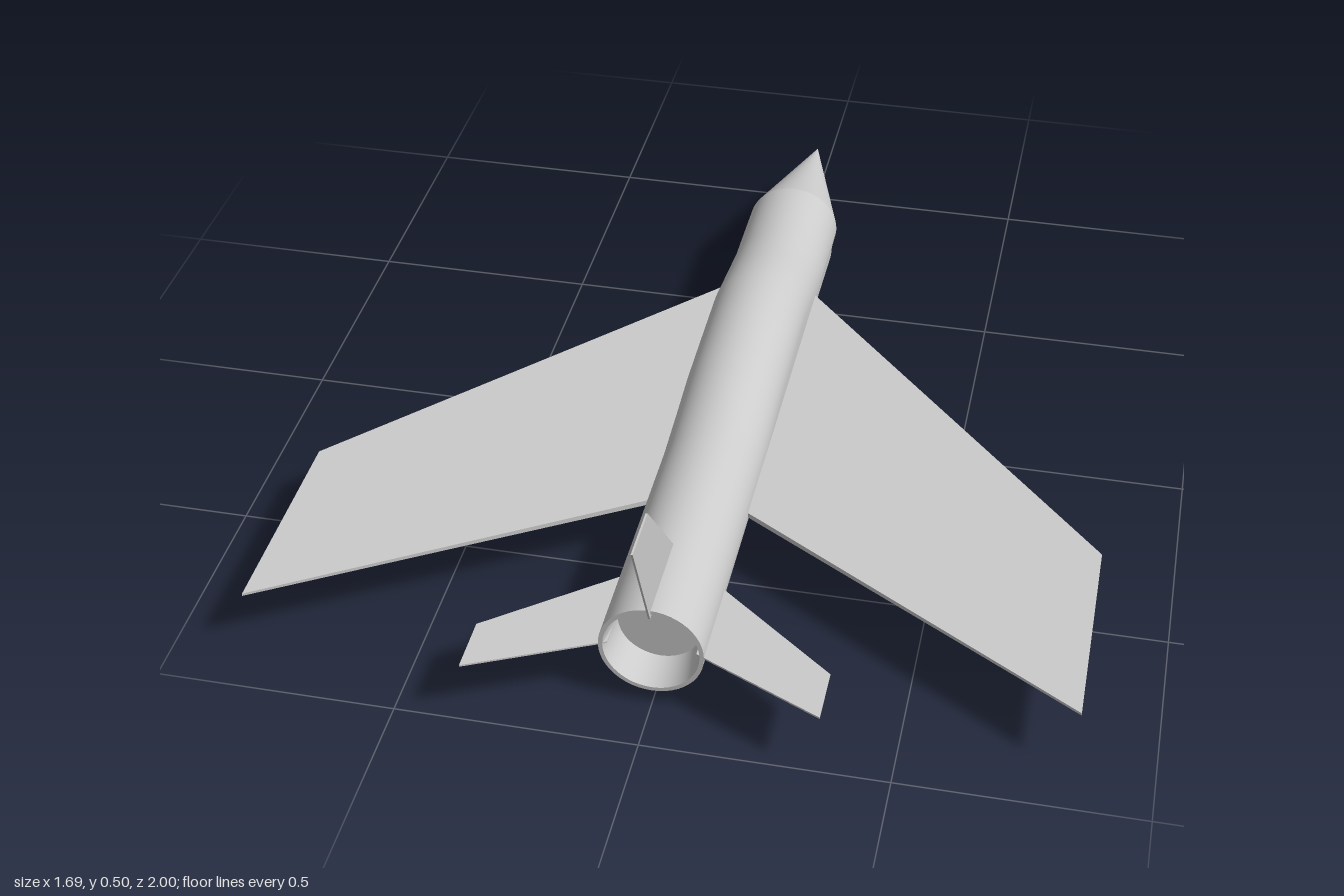
import * as THREE from 'three';

const AXIS_Y = 0.145, R = 0.107;

export function createModel() {
  const model = new THREE.Group();
  const solid = new THREE.MeshStandardMaterial({ color: 0xcccccc });
  const open = new THREE.MeshStandardMaterial({ color: 0xcccccc, side: THREE.DoubleSide });

  const add = (name, geometry, material = solid) => {
    const mesh = new THREE.Mesh(geometry, material);
    mesh.name = name;
    model.add(mesh);
    return mesh;
  };

  // Skin over a list of cross-sections (each an array of Vector3), ordered along +z
  const loft = (sections, closed) => {
    const n = sections[0].length, index = [];
    for (let i = 0; i < sections.length - 1; i++) {
      for (let j = 0; j < (closed ? n : n - 1); j++) {
        const k = (j + 1) % n;
        const a = i * n + j, b = i * n + k, c = a + n, d = b + n;
        index.push(a, b, c, b, d, c);
      }
    }
    const g = new THREE.BufferGeometry().setFromPoints(sections.flat());
    g.setIndex(index);
    g.computeVertexNormals();
    return g;
  };

  // Body section: two half ellipses, the upper one lifted so the sides stay straight
  const N = 24;
  const bodyRing = (z, top, bottom = AXIS_Y - R, scale = 1, cy = AXIS_Y) => {
    const pts = [];
    for (const half of [0, 1]) {
      const lift = half ? 0 : Math.max(0, top - cy - R * scale);
      const ry = half ? cy - bottom : top - cy - lift;
      for (let j = 0; j <= N; j++) {
        const a = Math.PI * (half + j / N);
        pts.push(new THREE.Vector3(R * scale * Math.cos(a), cy + lift + ry * Math.sin(a), z));
      }
    }
    return pts;
  };

  // Fuselage with the canopy hump blended into its back
  const spine = [
    [-0.66, 0.249, 0.053], [-0.6, 0.252], [-0.46, 0.252], [-0.35, 0.27], [-0.22, 0.292],
    [-0.1, 0.288], [0.07, 0.281], [0.2, 0.264], [0.31, 0.252], [0.88, 0.252],
  ];
  add('fuselage', loft(spine.map((s) => bodyRing(...s)), true));

  // Nose cone
  add('noseCone', loft([
    bodyRing(-1, 0.1555, 0.1545, 0.005, 0.155),
    bodyRing(-0.66, 0.249, 0.053),
  ], true));

  // Recessed exhaust nozzle
  const nozzle = new THREE.LatheGeometry(
    [[R, 0.88], [0.098, 0.88], [0.098, 0.88], [0.086, 0.8], [0.086, 0.8], [0, 0.8]]
      .map(([r, z]) => new THREE.Vector2(r, z)), 48);
  nozzle.rotateX(Math.PI / 2);
  add('exhaustNozzle', nozzle, open).position.y = AXIS_Y;

  // Chin air intake: open rounded trough, fading into the belly
  const trough = ([z, w, top, bottom, slant]) => {
    const pts = [];
    for (let j = 0; j <= 32; j++) {
      const a = Math.PI * (1 + j / 32), c = Math.cos(a), s = Math.abs(Math.sin(a));
      const drop = Math.pow(s, 0.75);
      pts.push(new THREE.Vector3(
        w * Math.sign(c) * Math.pow(Math.abs(c), 0.75),
        top - (top - bottom) * drop, z + slant * drop));
    }
    return pts;
  };
  add('airIntake', loft([
    [-0.655, 0.098, 0.1, 0.005, 0.018], [-0.2, 0.097, 0.1, 0.024, 0],
    [0.05, 0.086, 0.1, 0.033, 0], [0.32, 0.05, 0.1, 0.042, 0],
  ].map(trough), false), open);

  // Thin plate cut from an outline and centred on its own plane
  const plate = (outline, thickness) => {
    const shape = new THREE.Shape(outline.map(([u, v]) => new THREE.Vector2(u, v)));
    const g = new THREE.ExtrudeGeometry(shape, { depth: thickness, bevelEnabled: false });
    return g.translate(0, 0, -thickness / 2);
  };

  // Wings (thinner towards the tip) and tailplanes, mirrored; outlines are [x, z]
  const wing = [[0.09, -0.383], [0.845, 0.42], [0.845, 0.885], [0.09, 0.43]];
  const tail = [[0.09, 0.666], [0.357, 0.875], [0.357, 0.995], [0.09, 0.872]];
  for (const [side, sx] of [['left', 1], ['right', -1]]) {
    const mirror = (pts) => pts.map(([x, z]) => [x * sx, z]);
    const wingGeo = plate(mirror(wing), 0.013).rotateX(Math.PI / 2);
    const p = wingGeo.attributes.position;
    for (let i = 0; i < p.count; i++) {
      p.setY(i, p.getY(i) * (1 - 0.55 * Math.abs(p.getX(i)) / 0.845));
    }
    wingGeo.computeVertexNormals();
    add(side + 'Wing', wingGeo).position.y = AXIS_Y;
    add(side + 'Tailplane', plate(mirror(tail), 0.004).rotateX(Math.PI / 2)).position.y = AXIS_Y;
  }

  // Swept tail fin; outline is [z, y]
  add('tailFin', plate([[0.665, 0.235], [0.885, 0.235], [1, 0.5], [0.88, 0.5]], 0.004)
    .rotateY(-Math.PI / 2));

  return model;
}
